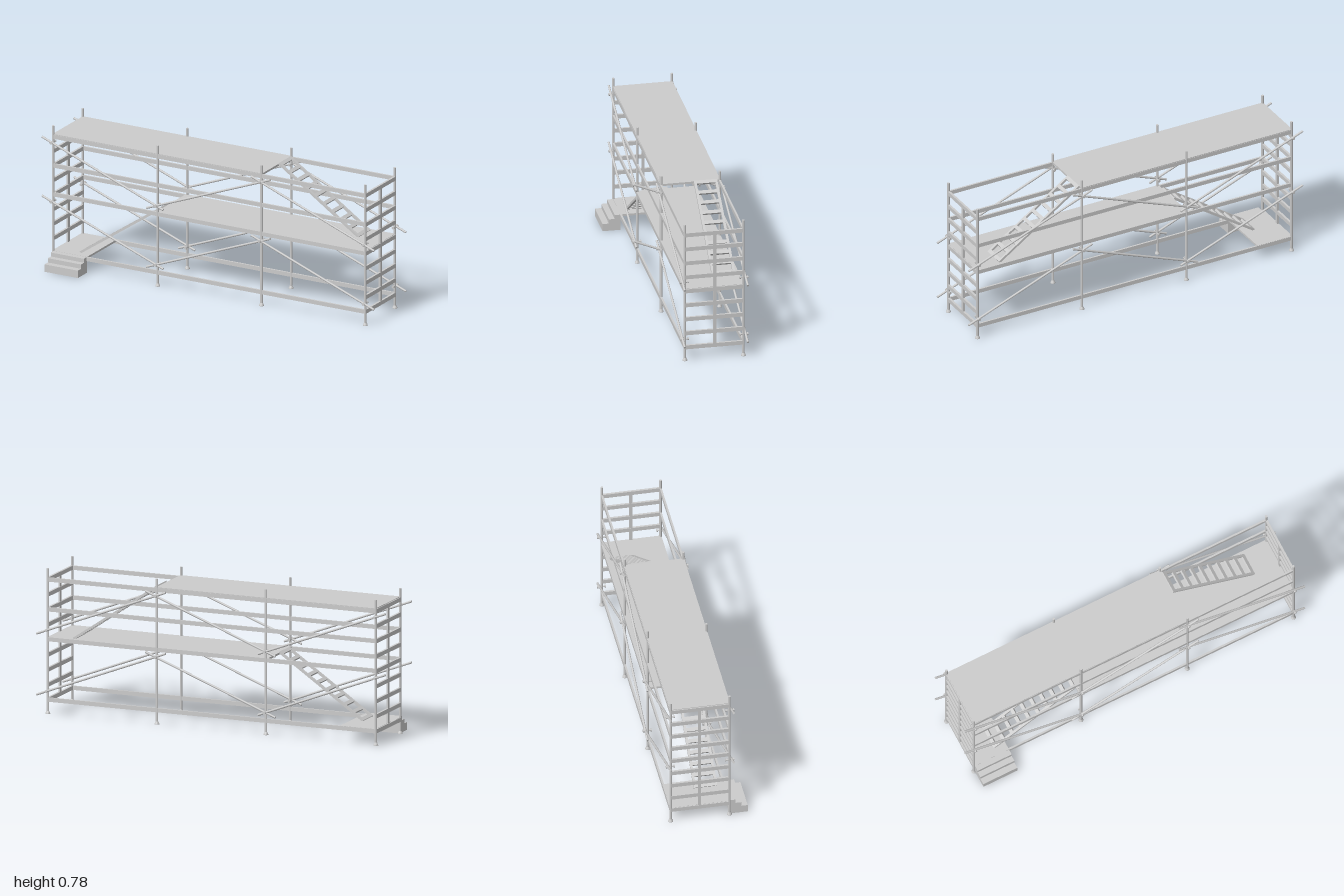
import * as THREE from 'three';

const mat = new THREE.MeshStandardMaterial({ color: 0xcccccc });
const POSTS = [-0.94, -0.31, 0.315, 0.94];
const Z_FRONT = 0.123, Z_BACK = -0.19, Z_MID = (Z_FRONT + Z_BACK) / 2;
const DEPTH = Z_FRONT - Z_BACK;

export function createModel() {
  const model = new THREE.Group();
  model.name = 'scaffold';

  const add = (name, geometry, x = 0, y = 0, z = 0) => {
    const mesh = new THREE.Mesh(geometry, mat);
    mesh.name = name;
    mesh.position.set(x, y, z);
    model.add(mesh);
    return mesh;
  };

  // Box given by its limits on each axis
  const box = (name, x0, x1, y0, y1, z0, z1) =>
    add(name, new THREE.BoxGeometry(x1 - x0, y1 - y0, z1 - z0),
      (x0 + x1) / 2, (y0 + y1) / 2, (z0 + z1) / 2);

  // Round bar between two points
  const bar = (name, a, b, r) => {
    const from = new THREE.Vector3(...a), to = new THREE.Vector3(...b);
    const dir = to.clone().sub(from);
    const mesh = add(name, new THREE.CylinderGeometry(r, r, dir.length(), 12));
    mesh.position.copy(from).add(to).multiplyScalar(0.5);
    mesh.quaternion.setFromUnitVectors(new THREE.Vector3(0, 1, 0), dir.normalize());
    return mesh;
  };

  // Posts with flared feet
  const postProfile = [[0, 0], [0.013, 0], [0.013, 0.003], [0.007, 0.016], [0.007, 0.78], [0, 0.78]]
    .map(([r, y]) => new THREE.Vector2(r, y));
  for (const x of POSTS) {
    for (const z of [Z_FRONT, Z_BACK]) {
      const post = add('post', new THREE.LatheGeometry(postProfile, 16), x, 0, z);
      post.geometry = post.geometry.toNonIndexed();
      post.geometry.computeVertexNormals();
    }
  }

  // Long rails on both sides
  for (const z of [Z_FRONT, Z_BACK]) {
    for (const y of [0.076, 0.4, 0.56, 0.72]) {
      box('sideRail', -0.94, 0.94, y - 0.011, y + 0.011, z - 0.005, z + 0.005);
    }
  }

  // End frames: evenly spaced cross bars and a middle upright per storey
  for (const x of [-0.94, 0.94]) {
    for (let i = 0; i < 9; i++) {
      const y = 0.076 + i * 0.0806;
      box('endRail', x - 0.006, x + 0.006, y - 0.011, y + 0.011, Z_BACK, Z_FRONT);
    }
    for (const y of [0.076, 0.4]) {
      box('endUpright', x - 0.005, x + 0.005, y, y + 0.322, -0.044, -0.028);
    }
  }

  // Decks
  const deck = (name, x0, x1, top) =>
    box(name, x0, x1, top - 0.011, top, Z_BACK - 0.003, Z_FRONT + 0.003);
  deck('entryDeck', -0.94, -0.735, 0.088);
  deck('middleDeck', -0.32, 0.94, 0.411);
  deck('topDeck', -0.94, 0.32, 0.735);

  // Diagonal braces and their clamps, same on both storeys and both sides
  const braces = [
    { a: [-1, 0.385], b: [-0.27, 0.105], posts: [-0.94, -0.31] },
    { a: [-0.37, 0.1], b: [0.375, 0.385], posts: [-0.31, 0.315] },
    { a: [0.26, 0.385], b: [1, 0.1], posts: [0.315, 0.94] },
  ];
  for (const lift of [0, 0.327]) {
    for (const [z, out] of [[Z_FRONT, 1], [Z_BACK, -1]]) {
      const zb = z + out * 0.012;
      for (const { a, b, posts } of braces) {
        bar('brace', [a[0], a[1] + lift, zb], [b[0], b[1] + lift, zb], 0.006);
        for (const x of posts) {
          const y = a[1] + (b[1] - a[1]) * (x - a[0]) / (b[0] - a[0]) + lift;
          bar('clampBolt', [x, y, z - out * 0.022], [x, y, z + out * 0.026], 0.0045);
          for (const d of [-0.018, 0.022]) {
            bar('clampNut', [x, y, z + out * (d - 0.003)], [x, y, z + out * (d + 0.003)], 0.0075);
          }
        }
      }
    }
  }

  // Stair ladder: a flat plate with slots, tilted from bottom to top
  const ladder = (name, xBottom, yBottom, xTop, yTop, zMid) => {
    const run = xTop - xBottom, rise = yTop - yBottom;
    const length = Math.hypot(run, rise), half = 0.0625, thick = 0.012, slots = 9;
    const rect = (shape, x0, x1, h) => shape.moveTo(x0, -h).lineTo(x1, -h)
      .lineTo(x1, h).lineTo(x0, h).closePath();
    const plate = rect(new THREE.Shape(), 0, length, half);
    const pitch = (length - 0.02) / slots;
    for (let i = 0; i < slots; i++) {
      const c = 0.01 + (i + 0.5) * pitch;
      plate.holes.push(rect(new THREE.Path(), c - pitch * 0.34, c + pitch * 0.34, half - 0.013));
    }
    const geometry = new THREE.ExtrudeGeometry(plate, { depth: thick, bevelEnabled: false });
    geometry.translate(0, 0, -thick / 2);
    const mesh = add(name, geometry, xBottom, yBottom, zMid);
    const along = new THREE.Vector3(run, rise, 0).normalize();
    const up = new THREE.Vector3(-rise, run, 0).normalize();
    if (up.y < 0) up.negate();
    const across = up.clone().cross(along);
    mesh.quaternion.setFromRotationMatrix(new THREE.Matrix4().makeBasis(along, across, up));
  };
  ladder('lowerLadder', -0.8, 0.088, -0.32, 0.413, 0.0225);
  ladder('upperLadder', 0.8, 0.411, 0.32, 0.736, -0.1125);

  // Entry steps
  const steps = new THREE.Shape([[0.125, 0], [0.222, 0], [0.222, 0.041], [0.188, 0.041],
    [0.188, 0.065], [0.157, 0.065], [0.157, 0.087], [0.125, 0.087]]
    .map(([z, y]) => new THREE.Vector2(-z, y)));
  const stepGeometry = new THREE.ExtrudeGeometry(steps, { depth: 0.2, bevelEnabled: false });
  stepGeometry.rotateY(Math.PI / 2);
  add('entrySteps', stepGeometry, -0.935, 0, 0);

  return model;
}
